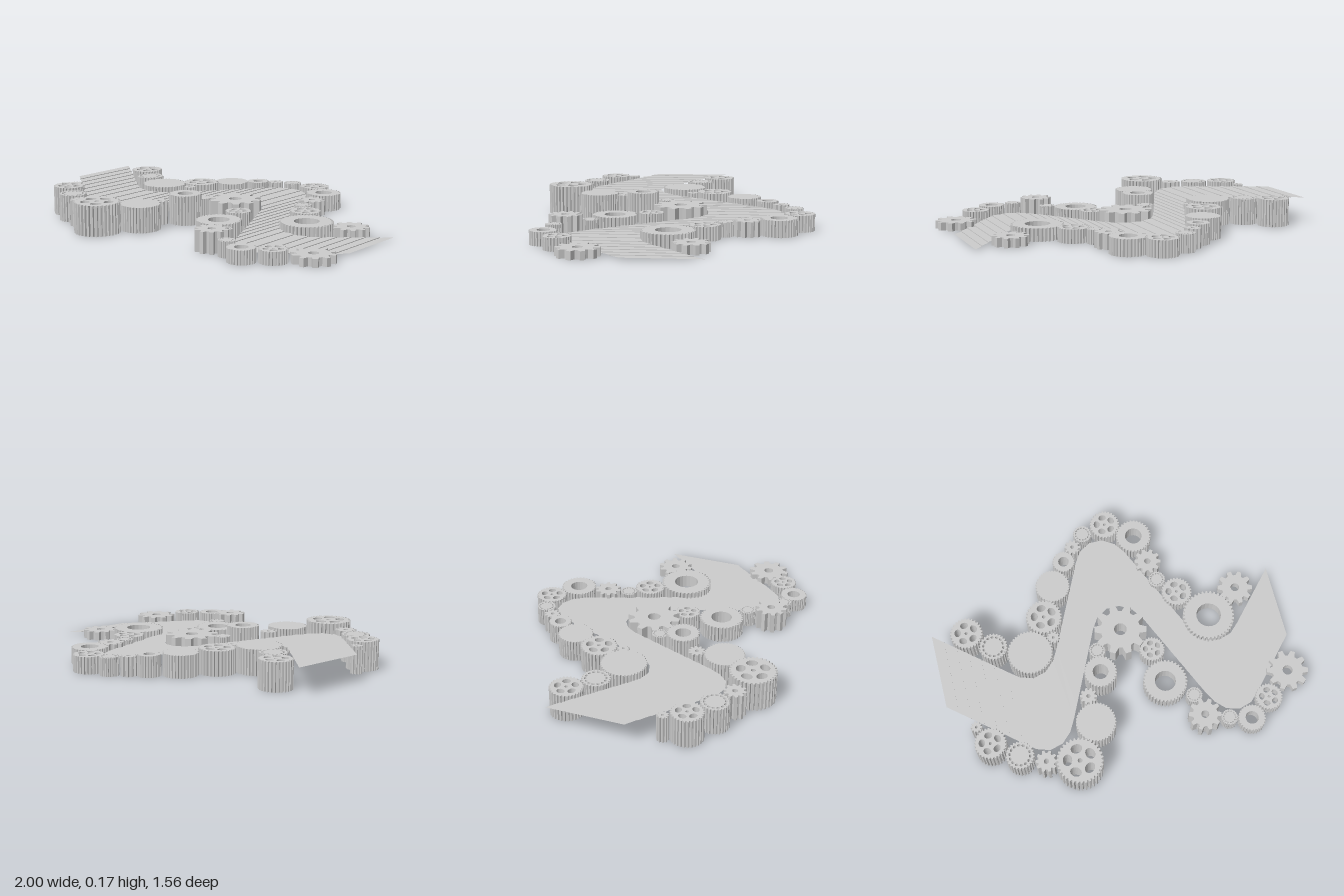
import * as THREE from 'three';

const grey = new THREE.MeshStandardMaterial({ color: 0xcccccc });
const sheet = new THREE.MeshStandardMaterial({ color: 0xcccccc, side: THREE.DoubleSide, flatShading: true });

// Toothed outline; coarse gears get deeper teeth
function toothedShape(r, teeth, depth) {
  const points = [];
  const profile = [[0, 1 - depth], [0.3, 1 - depth], [0.45, 1], [0.8, 1]];
  for (let i = 0; i < teeth; i++) {
    for (const [t, k] of profile) {
      const a = ((i + t) / teeth) * Math.PI * 2;
      points.push(new THREE.Vector2(Math.cos(a) * r * k, Math.sin(a) * r * k));
    }
  }
  return new THREE.Shape(points);
}

function addHole(shape, x, y, rx, ry = rx, turn = 0) {
  const hole = new THREE.Path();
  hole.absellipse(x, y, rx, ry, 0, Math.PI * 2, true, turn);
  shape.holes.push(hole);
}

function addHoleRing(shape, count, radius, rx, ry) {
  for (let i = 0; i < count; i++) {
    const a = ((i + 0.3) / count) * Math.PI * 2;
    addHole(shape, Math.cos(a) * radius, Math.sin(a) * radius, rx, ry, a);
  }
}

// Each style cuts its own openings
const styles = {
  starGear: { teeth: () => 10, depth: 0.25, cut: (s, r) => addHole(s, 0, 0, r * 0.24) },
  spokedGear: {
    teeth: r => Math.round(16 + r * 140), depth: 0.09,
    cut: (s, r) => { addHoleRing(s, 5, r * 0.53, r * 0.2, r * 0.25); addHole(s, 0, 0, r * 0.1); },
  },
  ringGear: { teeth: r => Math.round(16 + r * 160), depth: 0.08, cut: (s, r) => addHole(s, 0, 0, r * 0.48) },
  plainGear: { teeth: r => Math.round(16 + r * 200), depth: 0.06, cut: () => {} },
  bearingGear: { teeth: () => 26, depth: 0.09, cut: (s, r) => addHoleRing(s, 14, r * 0.72, r * 0.09, r * 0.12) },
};

function makeGear(style, x, z, r, height) {
  const { teeth, depth, cut } = styles[style];
  const shape = toothedShape(r, teeth(r), depth);
  cut(shape, r);
  const geometry = new THREE.ExtrudeGeometry(shape, { depth: height, bevelEnabled: false, curveSegments: 10 });
  geometry.rotateX(-Math.PI / 2);
  const gear = new THREE.Mesh(geometry, grey);
  gear.position.set(x, 0, z);
  gear.name = style;
  return gear;
}

// Winding sheet that steps down from left to right
function makeTrack() {
  const width = 0.42, steps = 40, top = 0.147, bottom = 0.008;
  const edge = new THREE.Path();
  edge.moveTo(-1, -0.24);
  edge.lineTo(-0.6, 0.085);
  edge.bezierCurveTo(-0.53, 0.145, -0.42, 0.15, -0.35, 0);
  edge.lineTo(-0.12, -0.5);
  edge.bezierCurveTo(-0.06, -0.66, 0.11, -0.66, 0.18, -0.5);
  edge.lineTo(0.41, 0);
  edge.bezierCurveTo(0.48, 0.15, 0.59, 0.145, 0.66, 0.085);
  edge.lineTo(0.95, -0.24);
  const line = edge.getSpacedPoints(steps);
  const level = i => top + (bottom - top) * (i / (steps - 1));
  const positions = [];
  const quad = (p, yp, q, yq) => {
    const a = [p.x, yp, p.y], b = [p.x, yp, p.y + width];
    const c = [q.x, yq, q.y + width], d = [q.x, yq, q.y];
    positions.push(...a, ...b, ...c, ...a, ...c, ...d);
  };
  for (let i = 0; i < steps; i++) {
    quad(line[i], level(i), line[i + 1], level(i)); // tread
    if (i < steps - 1) quad(line[i + 1], level(i), line[i + 1], level(i + 1)); // riser
  }
  const geometry = new THREE.BufferGeometry();
  geometry.setAttribute('position', new THREE.Float32BufferAttribute(positions, 3));
  geometry.computeVertexNormals();
  const track = new THREE.Mesh(geometry, sheet);
  track.name = 'steppedTrack';
  return track;
}

// Gears beside each edge of the track: x, z, radius, height
const backGears = {
  spokedGear: [[-0.81, -0.21, 0.09, 0.155], [-0.37, -0.21, 0.1, 0.135], [0.1, -0.7, 0.085, 0.093], [0.4, -0.2, 0.085, 0.078]],
  bearingGear: [[-0.68, -0.1, 0.077, 0.148], [-0.04, -0.67, 0.052, 0.1], [0.31, -0.3, 0.048, 0.08]],
  plainGear: [[-0.49, -0.02, 0.125, 0.142], [-0.28, -0.385, 0.096, 0.122]],
  ringGear: [[-0.185, -0.52, 0.063, 0.115], [0.245, -0.59, 0.1, 0.092], [0.54, -0.02, 0.145, 0.073]],
  starGear: [[-0.345, -0.08, 0.035, 0.13], [-0.115, -0.6, 0.045, 0.107], [0.285, -0.42, 0.075, 0.085], [0.735, -0.155, 0.1, 0.05]],
};
const frontGears = {
  spokedGear: [[-0.81, 0.44, 0.087, 0.16], [-0.365, 0.65, 0.126, 0.168], [0.175, 0.11, 0.07, 0.1], [0.735, 0.525, 0.075, 0.07]],
  bearingGear: [[-0.67, 0.54, 0.077, 0.15], [-0.125, 0.05, 0.045, 0.12], [0.335, 0.42, 0.045, 0.085], [0.49, 0.59, 0.045, 0.085]],
  plainGear: [[-0.23, 0.455, 0.11, 0.14]],
  ringGear: [[-0.14, 0.19, 0.09, 0.165], [0.2, 0.305, 0.122, 0.09], [0.61, 0.62, 0.075, 0.075]],
  starGear: [[-0.865, 0.33, 0.032, 0.15], [-0.54, 0.605, 0.06, 0.145], [-0.235, 0.3, 0.047, 0.13], [0.03, -0.04, 0.147, 0.12],
    [0.36, 0.55, 0.09, 0.115], [0.885, 0.395, 0.115, 0.045]],
};

export function createModel() {
  const model = new THREE.Group();
  model.name = 'gearTrack';
  model.add(makeTrack());
  for (const [name, rows] of Object.entries({ backGears, frontGears })) {
    const group = new THREE.Group();
    group.name = name;
    for (const [style, list] of Object.entries(rows)) {
      for (const spec of list) group.add(makeGear(style, ...spec));
    }
    model.add(group);
  }
  return model;
}
